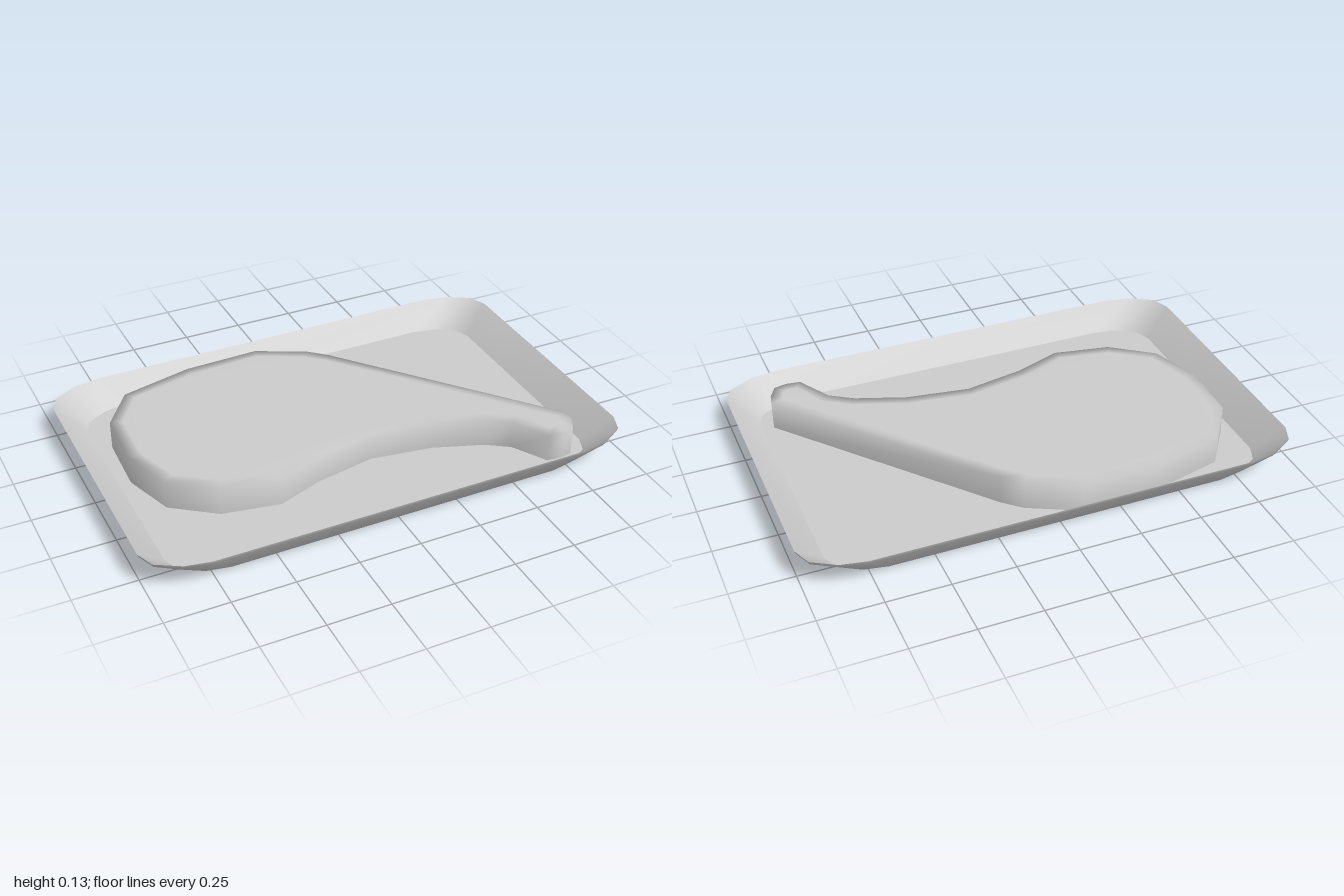
import * as THREE from 'three';
import { toCreasedNormals } from 'three/addons/utils/BufferGeometryUtils.js';

// Skin a stack of rings (counterclockwise from above) and cap the chosen ends.
function loft(rings, { capStart = false, capEnd = false } = {}) {
  const n = rings[0].length;
  const index = [];
  for (let r = 0; r < rings.length - 1; r++) {
    for (let i = 0; i < n; i++) {
      const a = r * n + i, b = r * n + (i + 1) % n;
      index.push(a, b, b + n, a, b + n, a + n);
    }
  }
  const cap = (r, flip) => {
    const flat = rings[r].map(([x, , z]) => new THREE.Vector2(x, -z));
    for (const [a, b, c] of THREE.ShapeUtils.triangulateShape(flat, [])) {
      index.push(r * n + a, r * n + (flip ? c : b), r * n + (flip ? b : c));
    }
  };
  if (capStart) cap(0, true);
  if (capEnd) cap(rings.length - 1, false);
  const geometry = new THREE.BufferGeometry();
  geometry.setAttribute('position', new THREE.Float32BufferAttribute(rings.flat(2), 3));
  geometry.setIndex(index);
  geometry.computeVertexNormals();
  return geometry;
}

// Rounded rectangle ring with half sizes hx, hz at height y.
const corner = [[1, 0.77], [0.97, 0.885], [0.875, 0.97], [0.77, 1]];
function trayRing(hx, hz, y) {
  const back = [...corner].reverse();
  return [
    ...corner.map(([x, z]) => [x * hx, y, -z * hz]),
    ...back.map(([x, z]) => [-x * hx, y, -z * hz]),
    ...corner.map(([x, z]) => [-x * hx, y, z * hz]),
    ...back.map(([x, z]) => [x * hx, y, z * hz]),
  ];
}

// Outline of the cut, shrunk by inset, at height y.
const outline = [
  [-0.1, -0.56], [-0.41, -0.55], [-0.71, -0.475], [-0.83, -0.305], [-0.84, -0.05],
  [-0.77, 0.16], [-0.6, 0.285], [-0.37, 0.327], [-0.18, 0.257], [0.067, 0.21],
  [0.32, 0.247], [0.52, 0.32], [0.61, 0.38], [0.69, 0.52], [0.75, 0.527],
  [0.8, 0.515], [0.83, 0.46], [0.84, 0.41], [0.17, -0.395], [0.1, -0.46],
];
function cutRing(inset, y) {
  const n = outline.length;
  return outline.map(([x, z], i) => {
    const p = outline[(i + n - 1) % n], q = outline[(i + 1) % n];
    const dir = new THREE.Vector2(x - p[0], z - p[1]).normalize()
      .add(new THREE.Vector2(q[0] - x, q[1] - z).normalize()).normalize();
    return [x + dir.y * inset, y, z - dir.x * inset];
  });
}

export function createModel() {
  const group = new THREE.Group();
  const material = new THREE.MeshStandardMaterial({ color: 0xcccccc });
  const add = (name, geometry) => {
    const mesh = new THREE.Mesh(geometry, material);
    mesh.name = name;
    group.add(mesh);
  };

  // Underside and sloping outer walls
  add('trayOutside', loft([
    trayRing(0.69, 0.54, 0),
    trayRing(0.88, 0.58, 0.006),
    trayRing(0.995, 0.65, 0.105),
    trayRing(1, 0.655, 0.12),
  ], { capStart: true }));

  // Inner walls and floor
  add('trayInside', toCreasedNormals(loft([
    trayRing(1, 0.655, 0.12),
    trayRing(0.885, 0.583, 0.012),
  ], { capEnd: true }), 0.6));

  // Slab of meat with a softened top edge
  add('meatCut', loft([
    cutRing(0, 0.012),
    cutRing(0, 0.13),
    cutRing(0.05, 0.134),
  ], { capEnd: true }));

  return group;
}
